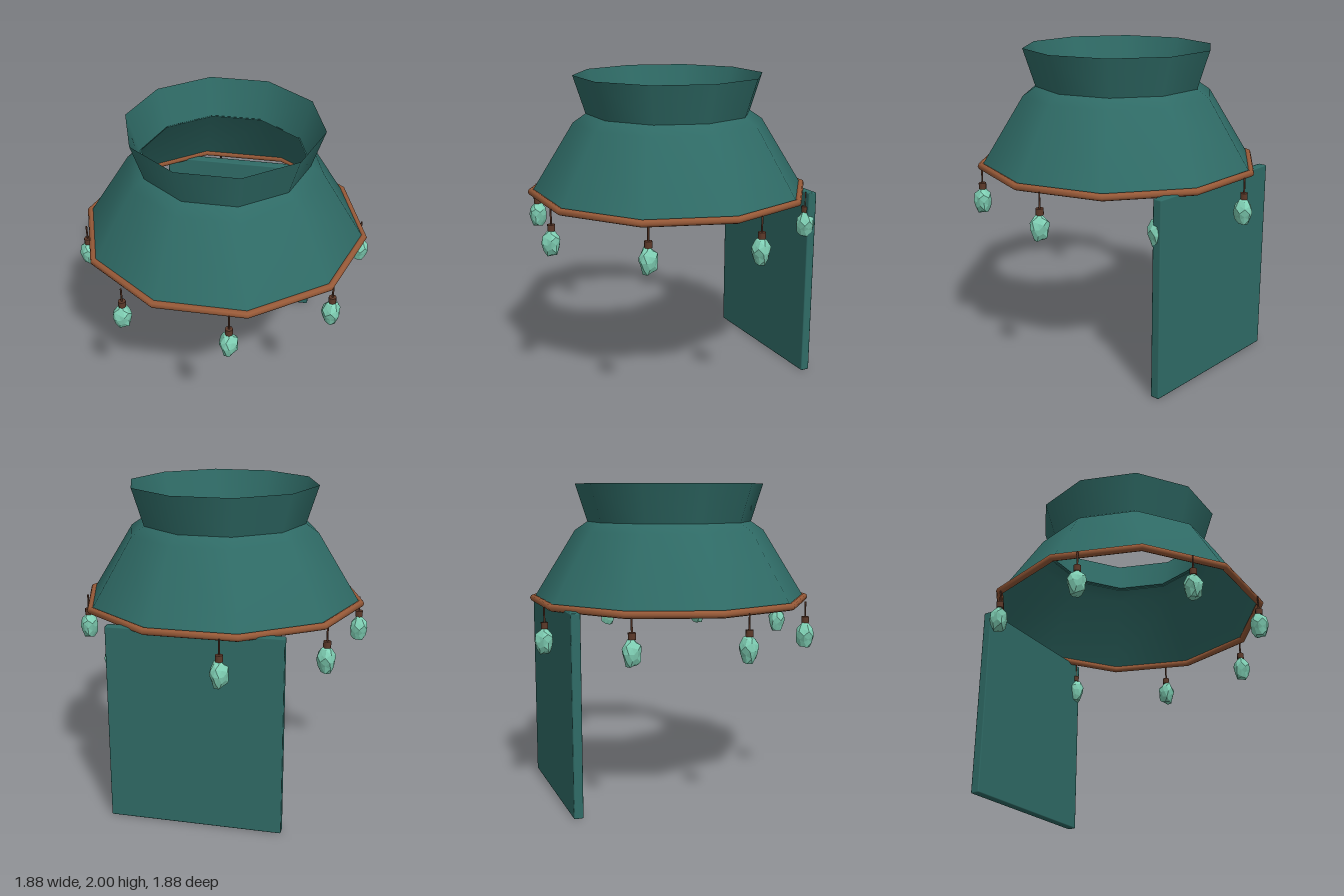
import * as THREE from 'three';
import { RoundedBoxGeometry } from 'three/addons/geometries/RoundedBoxGeometry.js';

const SIDES = 10;

const cloth = new THREE.MeshStandardMaterial({ name: 'teal cloth', color: 0x2f6b66, side: THREE.DoubleSide });
const copper = new THREE.MeshStandardMaterial({ name: 'copper trim', color: 0x985a38 });
const cord = new THREE.MeshStandardMaterial({ name: 'dark brown cord', color: 0x5e3a2a });
const crystal = new THREE.MeshStandardMaterial({ name: 'mint crystal', color: 0x7fcfb4, flatShading: true });

function add(parent, name, geometry, material, x = 0, y = 0, z = 0) {
  const mesh = new THREE.Mesh(geometry, material);
  mesh.name = name;
  mesh.position.set(x, y, z);
  parent.add(mesh);
  return mesh;
}

// Ten-sided shell with a corner on the x axis
function shell(profile) {
  const points = profile.map(([r, y]) => new THREE.Vector2(r, y));
  return new THREE.LatheGeometry(points, SIDES, Math.PI / 2);
}

// Irregular faceted bead: corners pushed in or out by a rule on their position
function beadGeometry() {
  const geometry = new THREE.IcosahedronGeometry(1, 1);
  const p = geometry.attributes.position;
  const v = new THREE.Vector3();
  for (let i = 0; i < p.count; i++) {
    v.fromBufferAttribute(p, i);
    const k = 0.98 + 0.11 * Math.sin(Math.round(v.x * 100) * 1.7 + Math.round(v.y * 100) * 2.9 + Math.round(v.z * 100) * 4.3);
    p.setXYZ(i, v.x * k * 0.058, v.y * k * 0.088, v.z * k * 0.058);
  }
  geometry.computeVertexNormals();
  return geometry;
}

export function createModel() {
  const model = new THREE.Group();
  model.name = 'capelet';
  const body = new THREE.Group();
  body.name = 'garment';
  body.position.x = -0.0075;
  model.add(body);

  // Shoulder cape, flared collar and back panel
  add(body, 'shoulderCape', shell([[0.9, 1.25], [0.62, 1.7], [0.525, 1.765]]), cloth);
  add(body, 'collar', shell([[0.535, 1.75], [0.615, 2]]), cloth);
  add(body, 'backPanel', new RoundedBoxGeometry(1.08, 1.25, 0.06, 1, 0.008), cloth, 0, 0.625, -0.775);

  // Hem trim
  const trim = add(body, 'hemTrim', new THREE.TorusGeometry(0.9, 0.023, 8, SIDES), copper, 0, 1.255, 0);
  trim.rotation.x = Math.PI / 2;

  // Hanging bead charms around the hem
  const threadShape = new THREE.CylinderGeometry(0.006, 0.006, 0.1, 6);
  const capShape = new THREE.CylinderGeometry(0.024, 0.024, 0.04, 8);
  const beadShape = beadGeometry();
  for (let i = 0; i < 8; i++) {
    const a = (i - 0.25) * Math.PI / 4;
    const charm = new THREE.Group();
    charm.name = 'charm';
    charm.position.set(0.9 * Math.cos(a), 0, 0.9 * Math.sin(a));
    charm.rotation.y = -a;
    body.add(charm);
    add(charm, 'thread', threadShape, cord, 0, 1.2, 0);
    add(charm, 'beadCap', capShape, cord, 0, 1.135, 0);
    add(charm, 'bead', beadShape, crystal, 0, 1.035, 0);
  }
  return model;
}
